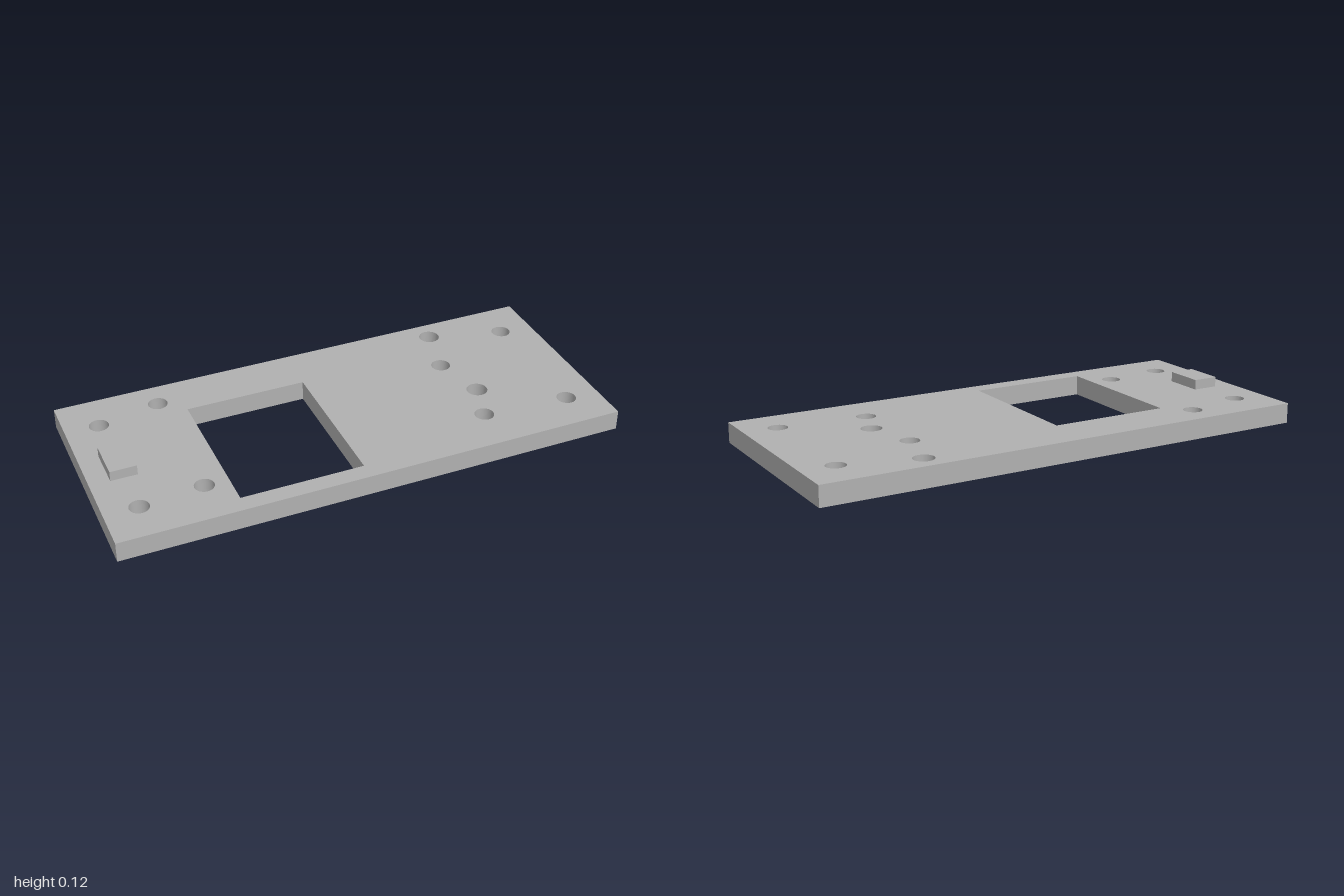
import * as THREE from 'three';

const THICK = 0.08;
const HALF_DEPTH = 0.432;

// Closed rectangle in plan; shape y is -z once the plate is laid flat
function rectangle(PathType, x0, x1, z0, z1) {
  const p = new PathType();
  p.moveTo(x0, -z1);
  p.lineTo(x1, -z1);
  p.lineTo(x1, -z0);
  p.lineTo(x0, -z0);
  p.closePath();
  return p;
}

export function createModel() {
  const model = new THREE.Group();
  model.name = 'mountingPlate';
  const grey = new THREE.MeshStandardMaterial({ color: 0xb0b0b0 });
  grey.name = 'grey';

  // Plate outline with the rectangular window
  const outline = rectangle(THREE.Shape, -1, 1, -HALF_DEPTH, HALF_DEPTH);
  outline.holes.push(rectangle(THREE.Path, -0.523, -0.043, -0.235, 0.363));

  // Screw holes: x, z, radius
  const holes = [
    [-0.617, -0.317, 0.038], [-0.617, 0.244, 0.038],
    [0.517, -0.13, 0.038], [0.517, 0.244, 0.038],
    [0.57, -0.344, 0.041], [0.57, 0.083, 0.041],
  ];
  for (const x of [-0.867, 0.865]) {
    for (const z of [-0.264, 0.27]) holes.push([x, z, 0.038]);
  }
  for (const [x, z, r] of holes) {
    const hole = new THREE.Path();
    hole.absarc(x, -z, r, 0, Math.PI * 2, true);
    outline.holes.push(hole);
  }

  const plateGeometry = new THREE.ExtrudeGeometry(outline, {
    depth: THICK, bevelEnabled: false, curveSegments: 32,
  });
  plateGeometry.rotateX(-Math.PI / 2);
  const plate = new THREE.Mesh(plateGeometry, grey);
  plate.name = 'plate';
  model.add(plate);

  // Small raised block near the right end
  const block = new THREE.Mesh(new THREE.BoxGeometry(0.103, 0.04, 0.161), grey);
  block.name = 'raisedBlock';
  block.position.set(-0.869, THICK + 0.02, 0.007);
  model.add(block);

  return model;
}
